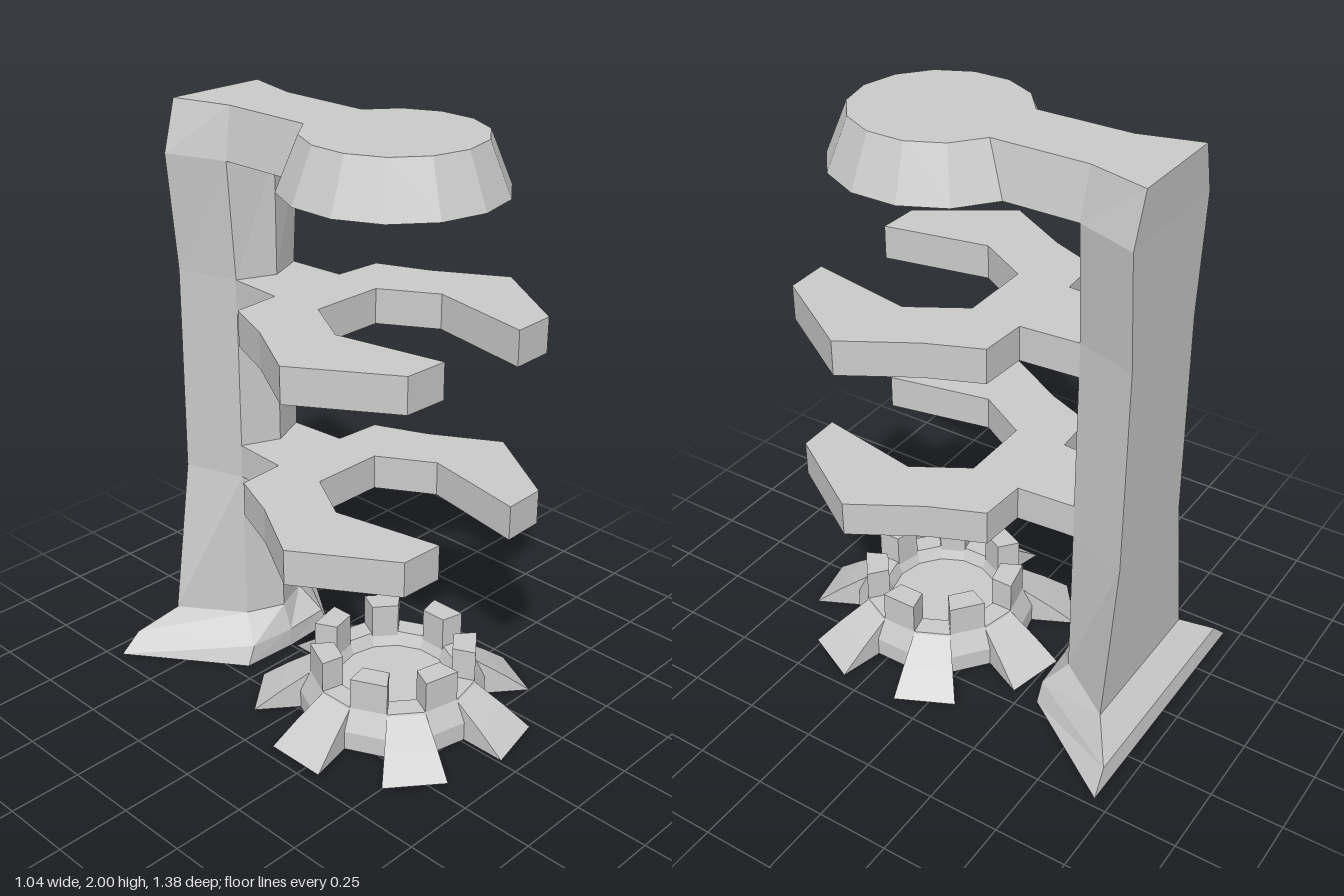
import * as THREE from 'three';

const MAT = new THREE.MeshStandardMaterial({ color: 0xcccccc, flatShading: true });
const STEP = (Math.PI * 2) / 14;
const HEAD_Z = 0.185, DISK_Z = 0.21;

// Solid skin through equal-length rings of [x, y, z], with convex end caps
function loft(rings) {
  const pos = [], n = rings[0].length;
  const tri = (a, b, c) => pos.push(...a, ...b, ...c);
  for (let k = 0; k < rings.length - 1; k++) {
    for (let i = 0; i < n; i++) {
      const j = (i + 1) % n, r = rings[k], s = rings[k + 1];
      tri(r[i], r[j], s[j]);
      tri(r[i], s[j], s[i]);
    }
  }
  const first = rings[0], last = rings[rings.length - 1];
  for (let i = 1; i < n - 1; i++) {
    tri(first[0], first[i + 1], first[i]);
    tri(last[0], last[i], last[i + 1]);
  }
  const g = new THREE.BufferGeometry();
  g.setAttribute('position', new THREE.Float32BufferAttribute(pos, 3));
  g.computeVertexNormals();
  return g;
}

// One slice of a 14-sided ring with a convex [radius, y] profile
function sector(profile, k) {
  return loft([k, k + 1].map((i) =>
    profile.map(([r, y]) => [r * Math.sin(i * STEP), y, r * Math.cos(i * STEP)])));
}

function lathe(profile) {
  return new THREE.LatheGeometry(profile.map(([r, y]) => new THREE.Vector2(r, y)), 14);
}

function add(parent, name, geometry) {
  const mesh = new THREE.Mesh(geometry, MAT);
  mesh.name = name;
  parent.add(mesh);
  return mesh;
}

export function createModel() {
  const model = new THREE.Group();
  model.name = 'machineStand';

  // Column with a ridged front and flared foot: y, ridge z, front corner x z, back corner x z
  const sections = [
    [0, -0.3, 0.2, -0.31, 0.47, -0.695],
    [0.07, -0.3, 0.17, -0.312, 0.4, -0.685],
    [0.16, -0.335, 0.13, -0.39, 0.28, -0.6],
    [0.71, -0.335, 0.13, -0.39, 0.2, -0.6],
    [1.43, -0.335, 0.13, -0.39, 0.195, -0.6],
    [1.83, -0.335, 0.155, -0.39, 0.23, -0.6],
    [2, -0.39, 0.125, -0.4, 0.18, -0.605],
  ];
  add(model, 'column', loft(sections.map(([y, ridge, fx, fz, bx, bz]) =>
    [[0, y, ridge], [fx, y, fz], [bx, y, bz], [-bx, y, bz], [-fx, y, fz]])));

  // Arm from the column to the head
  add(model, 'headArm', loft([[1.83, 0.155], [2, 0.125]].map(([y, w]) =>
    [[-w, y, -0.06], [w, y, -0.06], [w, y, -0.4], [-w, y, -0.4]])));

  // Tapered head, hollow underneath
  add(model, 'head', lathe([
    [0, 1.93], [0.19, 1.93], [0.235, 1.83], [0.355, 1.83], [0.285, 2], [0, 2],
  ])).position.z = HEAD_Z;

  // Two open claws, outlined on one side as [x, z] and mirrored
  const half = [
    [0.13, -0.01], [0.24, 0.175], [0.17, 0.545], [0.32, 0.54], [0.52, 0.23],
    [0.385, 0], [0.31, -0.18], [0.145, -0.19], [0.13, -0.4],
  ];
  const outline = [...half, ...half.map(([x, z]) => [-x, z]).reverse()];
  const shape = new THREE.Shape(outline.map(([x, z]) => new THREE.Vector2(x, -z)));
  const clawGeometry = new THREE.ExtrudeGeometry(shape, { depth: 0.12, bevelEnabled: false });
  clawGeometry.rotateX(-Math.PI / 2);
  add(model, 'lowerClaw', clawGeometry).position.y = 0.71;
  add(model, 'upperClaw', clawGeometry).position.y = 1.31;

  // Floor pad: dished hub, with sloping feet and upright posts on alternate sides
  const pad = new THREE.Group();
  pad.name = 'floorPad';
  pad.position.z = DISK_Z;
  model.add(pad);
  add(pad, 'padHub', lathe([
    [0, 0.012], [0.32, 0.012], [0.32, 0.08], [0.285, 0.155], [0.21, 0.155], [0.19, 0.11], [0, 0.11],
  ]));
  const foot = [[0.28, 0.154], [0.39, 0.08], [0.48, 0.012], [0.28, 0.012]];
  const post = [[0.205, 0.265], [0.285, 0.265], [0.285, 0.1], [0.205, 0.1]];
  for (let k = 0; k < 14; k += 2) {
    add(pad, 'padFoot', sector(foot, k));
    add(pad, 'padPost', sector(post, k + 1));
  }
  return model;
}
